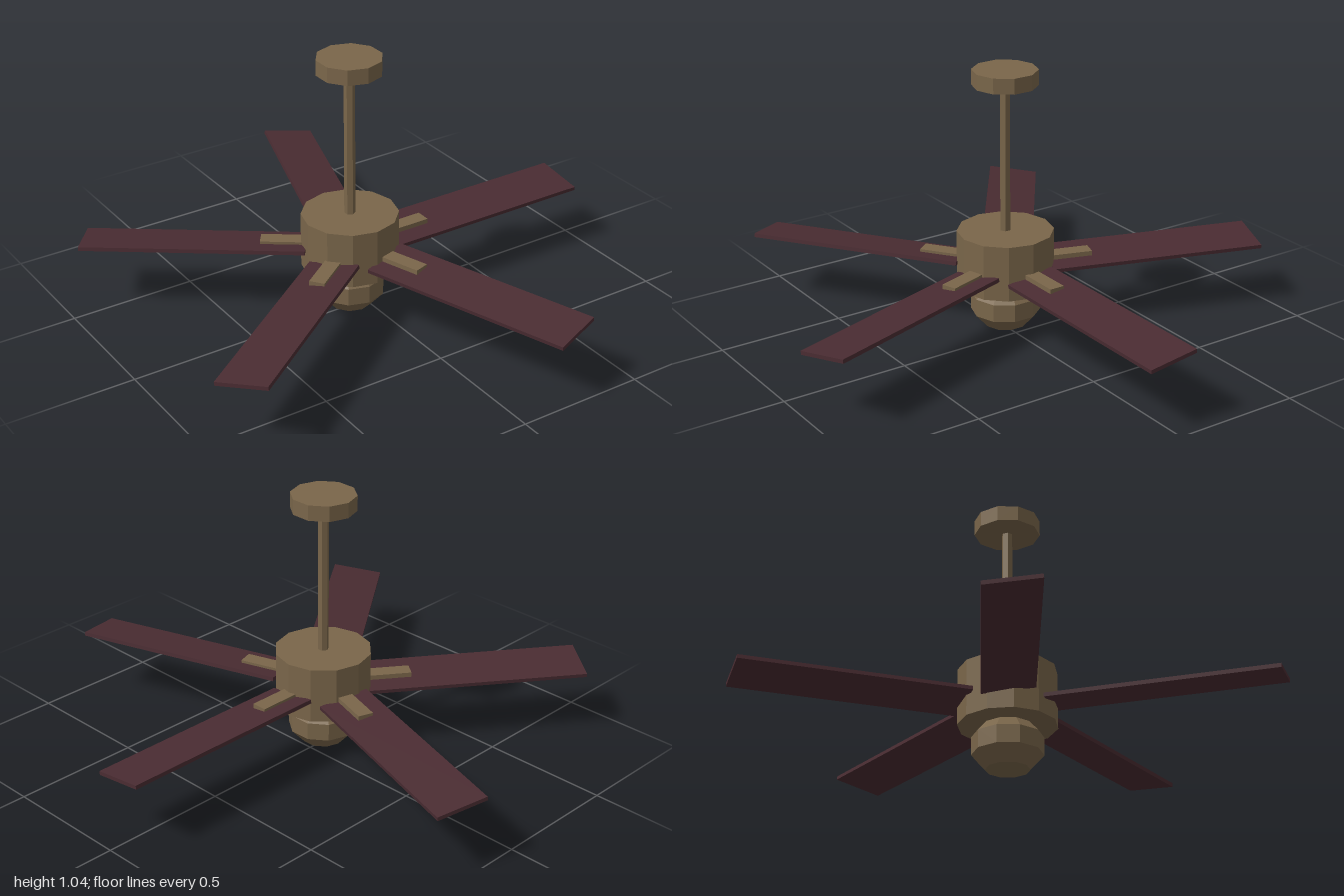
import * as THREE from 'three';

const bronze = new THREE.MeshStandardMaterial({ color: 0x7a664a, flatShading: true });
const wood = new THREE.MeshStandardMaterial({ color: 0x4a2c32, flatShading: true });

function part(parent, name, geometry, material, x, y) {
  const mesh = new THREE.Mesh(geometry, material);
  mesh.name = name;
  mesh.position.set(x, y, 0);
  parent.add(mesh);
  return mesh;
}

// Faceted upright cylinder between two heights
function drum(parent, name, radius, bottom, top, sides) {
  const geometry = new THREE.CylinderGeometry(radius, radius, top - bottom, sides);
  return part(parent, name, geometry, bronze, 0, (bottom + top) / 2);
}

export function createModel() {
  const model = new THREE.Group();
  model.name = 'ceilingFan';

  // Five blades spread unevenly in x, so the hub axis sits off centre
  const fan = new THREE.Group();
  fan.name = 'fan';
  fan.position.x = -0.07;
  model.add(fan);

  // Ceiling mount, rod and motor
  drum(fan, 'canopy', 0.125, 0.985, 1.045, 10);
  drum(fan, 'downRod', 0.021, 0.4, 0.99, 6);
  drum(fan, 'motorHousing', 0.186, 0.192, 0.41, 12);

  // Squashed light globe under the motor
  const globe = new THREE.SphereGeometry(0.14, 10, 5).rotateY(Math.PI / 2).scale(1, 0.8, 1);
  part(fan, 'lightGlobe', globe, bronze, 0, 0.115);

  // Pitched blades with flat brackets
  const bladeShape = new THREE.BoxGeometry(0.855, 0.015, 0.2);
  const bracketShape = new THREE.BoxGeometry(0.2, 0.02, 0.06);
  for (let i = 0; i < 5; i++) {
    const arm = new THREE.Group();
    arm.name = 'bladeArm' + (i + 1);
    arm.rotation.y = (i * Math.PI * 2) / 5;
    part(arm, 'blade', bladeShape, wood, 0.5925, 0.27).rotation.x = 0.13;
    part(arm, 'bracket', bracketShape, bronze, 0.24, 0.282);
    fan.add(arm);
  }
  return model;
}
